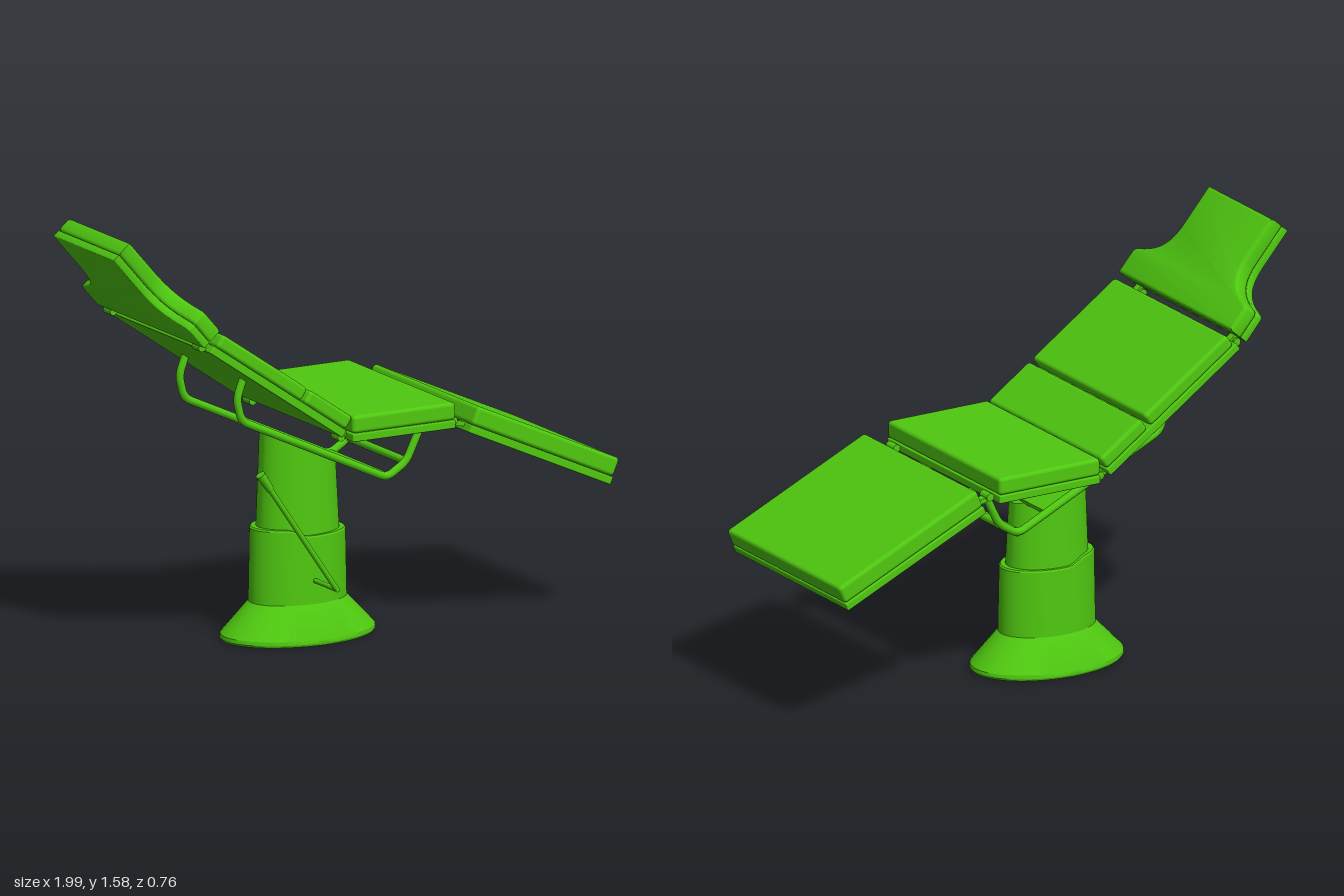
import * as THREE from 'three';
import { toCreasedNormals } from 'three/addons/utils/BufferGeometryUtils.js';
import { RoundedBoxGeometry } from 'three/addons/geometries/RoundedBoxGeometry.js';

const green = new THREE.MeshStandardMaterial({ color: 0x4fc810 });
const greenOpen = new THREE.MeshStandardMaterial({ color: 0x4fc810, side: THREE.DoubleSide });
const V = (x, y, z) => new THREE.Vector3(x, y, z);
const WIDTH = 0.76, BOARD = 0.03;

function add(parent, name, geometry, material = green) {
  const mesh = new THREE.Mesh(geometry, material);
  mesh.name = name;
  parent.add(mesh);
  return mesh;
}

// Group whose local x runs along the underside from (x0,y0) to (x1,y1)
function section(parent, name, x0, y0, x1, y1) {
  const group = new THREE.Group();
  group.name = name;
  group.position.set(x0, y0, 0);
  group.rotation.z = Math.atan2(y1 - y0, x1 - x0);
  parent.add(group);
  return group;
}

// Block between u0 and u1 along a section, y0 to y1 above its underside
function block(parent, name, u0, u1, y0, y1, radius) {
  const geo = new RoundedBoxGeometry(u1 - u0, y1 - y0, WIDTH, 3, radius);
  add(parent, name, geo.translate((u0 + u1) / 2, (y0 + y1) / 2, 0));
}

// Straight round bar between two points
function rod(parent, name, a, b, radius, endRadius = radius) {
  const mesh = add(parent, name, new THREE.CylinderGeometry(endRadius, radius, a.distanceTo(b), 16));
  mesh.position.copy(a).add(b).multiplyScalar(0.5);
  mesh.quaternion.setFromUnitVectors(V(0, 1, 0), b.clone().sub(a).normalize());
}

// Bent tube with small rounded corners
function bentTube(parent, name, points, radius, bend = 0.03) {
  const path = new THREE.CurvePath();
  let from = points[0];
  for (let i = 1; i < points.length - 1; i++) {
    const p = points[i];
    const toward = (q) => p.clone().add(q.clone().sub(p).setLength(bend));
    const start = toward(points[i - 1]), end = toward(points[i + 1]);
    path.add(new THREE.LineCurve3(from, start));
    path.add(new THREE.QuadraticBezierCurve3(start, p, end));
    from = end;
  }
  path.add(new THREE.LineCurve3(from, points[points.length - 1]));
  add(parent, name, new THREE.TubeGeometry(path, 120, radius, 10), greenOpen);
}

// Oval turned body; a rule may reshape the height of each vertex
function ovalLathe(profile, depth, rule) {
  const geo = new THREE.LatheGeometry(profile.map(([r, y]) => new THREE.Vector2(r, y)), 64);
  geo.scale(1, 1, depth).translate(-0.11, 0, 0);
  const pos = geo.attributes.position;
  for (let i = 0; i < pos.count; i++) pos.setY(i, rule(pos.getX(i), pos.getY(i)));
  return toCreasedNormals(geo, 0.5);
}

// Headrest outline, narrowing through concave shoulders
function headLayer(y0, y1, bevel) {
  const s = new THREE.Shape();
  s.moveTo(0.01, -0.215);
  s.lineTo(0.17, -0.215);
  s.bezierCurveTo(0.27, -0.215, 0.30, -0.27, 0.325, -0.36);
  s.quadraticCurveTo(0.33, -0.38, 0.35, -0.38);
  s.lineTo(0.435, -0.38);
  s.lineTo(0.435, 0.38);
  s.lineTo(0.35, 0.38);
  s.quadraticCurveTo(0.33, 0.38, 0.325, 0.36);
  s.bezierCurveTo(0.30, 0.27, 0.27, 0.215, 0.17, 0.215);
  s.lineTo(0.01, 0.215);
  s.closePath();
  const geo = new THREE.ExtrudeGeometry(s, {
    depth: y1 - y0 - 2 * bevel, bevelSize: bevel, bevelThickness: bevel,
    bevelOffset: -bevel, bevelSegments: 3, curveSegments: 16,
  });
  return toCreasedNormals(geo.rotateX(-Math.PI / 2).translate(0, y0 + bevel, 0), 0.6);
}

export function createModel() {
  const model = new THREE.Group();
  model.name = 'recliningChair';

  // Hollow pedestal with a stepped collar, and the lifting column inside it
  const step = (x) => 0.41 - 0.025 * THREE.MathUtils.smoothstep(x, -0.21, -0.13);
  add(model, 'pedestalBase', ovalLathe(
    [[0.295, 0], [0.3, 0.008], [0.298, 0.022], [0.19, 0.135], [0.185, 0.4], [0.18, 0.406], [0.155, 0.406]],
    0.68, (x, y) => (y > 0.3 ? y - 0.406 + step(x) : y)), greenOpen);
  const railY = (x) => 0.86 - 0.467 * (x + 0.46);
  add(model, 'liftColumn', ovalLathe([[0.165, 0.3], [0.147, 0.7], [0, 0.7]], 0.69,
    (x, y) => (y > 0.5 ? railY(x) - 0.005 : y)), greenOpen);

  // Seat
  const seat = section(model, 'seat', -0.1, 0.78, 0.325, 0.78);
  block(seat, 'seatBoard', 0, 0.425, 0, BOARD, 0.005);
  block(seat, 'seatCushion', 0, 0.425, BOARD, 0.095, 0.014);

  // Leg rest
  const leg = section(model, 'legRest', 0.38, 0.757, 0.964, 0.493);
  block(leg, 'legBoard', 0, 0.64, 0, BOARD, 0.005);
  block(leg, 'legCushion', 0, 0.64, BOARD, 0.1, 0.014);

  // Backrest: one board carrying two cushions
  const back = section(model, 'backrest', -0.69, 1.18, -0.14, 0.8);
  block(back, 'backBoard', 0, 0.665, 0, BOARD, 0.005);
  block(back, 'upperBackCushion', 0.012, 0.437, BOARD, 0.083, 0.014);
  block(back, 'lumbarCushion', 0.452, 0.662, BOARD, 0.083, 0.014);

  // Headrest
  const head = section(model, 'headrest', -1, 1.53, -0.71, 1.195);
  add(head, 'headBoard', headLayer(0, BOARD, 0.004));
  add(head, 'headCushion', headLayer(BOARD, 0.09, 0.013));

  // Support frame, hinges and brackets, mirrored
  const profile = [[-0.45, 1.03], [-0.48, 0.95], [-0.46, 0.865], [0.14, 0.585], [0.22, 0.635], [0.295, 0.79]];
  for (const side of [1, -1]) {
    const z = side * 0.205;
    bentTube(model, 'frameRail', profile.map(([x, y]) => V(x, y, z)), 0.015);
    for (const [x0, y0, x1, y1] of [
      [0.3, 0.8, 0.42, 0.77], [-0.15, 0.815, -0.08, 0.795], [-0.73, 1.235, -0.66, 1.175]]) {
      const hinge = section(model, 'hinge', x0, y0, x1, y1);
      const len = Math.hypot(x1 - x0, y1 - y0);
      const strap = add(hinge, 'hingeStrap', new THREE.BoxGeometry(len, 0.018, 0.03));
      strap.position.set(len / 2, 0, side * 0.315);
    }
    for (const [x, y] of [[0.34, 0.797], [-0.125, 0.793], [-0.7, 1.193]])
      rod(model, 'hingePin', V(x, y, side * 0.29), V(x, y, side * 0.34), 0.015);
  }
  for (const [x, y] of [[0.14, 0.588], [0.22, 0.635]])
    rod(model, 'frameCrossbar', V(x, y, -0.205), V(x, y, 0.205), 0.015);
  // Carrier joining the column to both rails
  const carrier = section(model, 'carrier', -0.24, railY(-0.24), 0.02, railY(0.02));
  add(carrier, 'carrierPlate', new THREE.BoxGeometry(0.28, 0.02, 0.41)).position.x = 0.145;

  // Hand lever
  const pivot = V(-0.11, 0.22, 0.28), tip = V(-0.425, 0.68, 0.28);
  const gripStart = pivot.clone().lerp(tip, 0.87);
  rod(model, 'leverAxle', V(-0.11, 0.22, 0.1), V(-0.11, 0.22, 0.288), 0.009);
  rod(model, 'leverArm', pivot, gripStart, 0.01);
  rod(model, 'leverGrip', gripStart, tip, 0.014, 0.018);
  return model;
}
